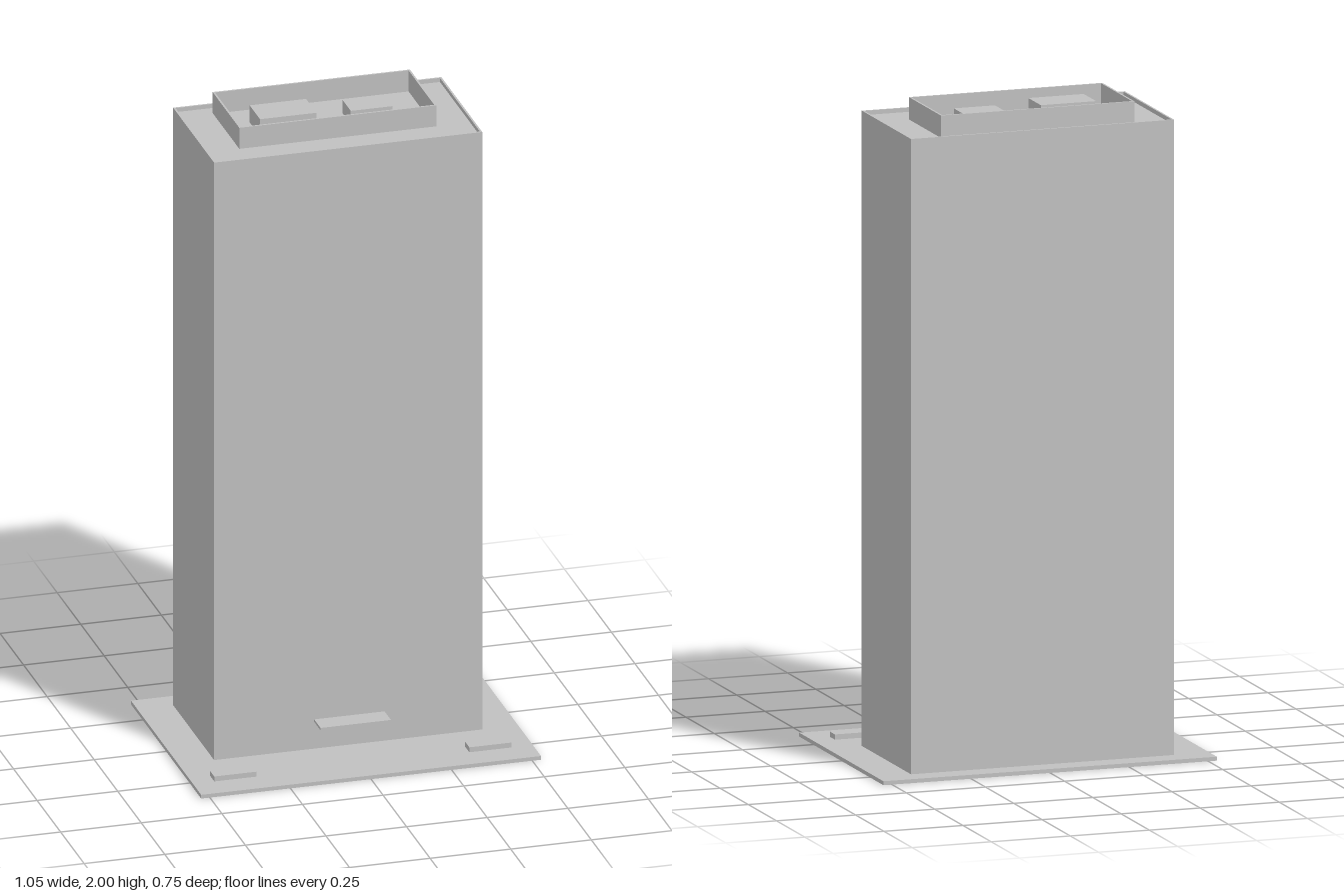
import * as THREE from 'three';

const concrete = new THREE.MeshStandardMaterial({ color: 0xc0c0c0 });
concrete.name = 'concrete grey';

export function createModel() {
  const model = new THREE.Group();
  model.name = 'towerBlock';

  // Box given by its limits on each axis
  function block(name, [x0, x1], [y0, y1], [z0, z1]) {
    const mesh = new THREE.Mesh(new THREE.BoxGeometry(x1 - x0, y1 - y0, z1 - z0), concrete);
    mesh.position.set((x0 + x1) / 2, (y0 + y1) / 2, (z0 + z1) / 2);
    mesh.name = name;
    model.add(mesh);
  }

  // Thin rectangular wall ring, extruded upwards
  function wallRing(name, halfX, [y0, y1], [z0, z1], t) {
    const rect = (path, inset) => {
      const x = halfX - inset, a = -z1 + inset, b = -z0 - inset;
      path.moveTo(-x, a).lineTo(x, a).lineTo(x, b).lineTo(-x, b).closePath();
    };
    rect.call(null, Object.assign(new THREE.Shape(), {}), 0);
    const corners = (inset) => {
      const x = halfX - inset, a = -z1 + inset, b = -z0 - inset;
      return [[-x, a], [x, a], [x, b], [-x, b]].map(([u, v]) => new THREE.Vector2(u, v));
    };
    const shape = new THREE.Shape(corners(0));
    shape.holes.push(new THREE.Path(corners(t).reverse()));
    const geometry = new THREE.ExtrudeGeometry(shape, { depth: y1 - y0, bevelEnabled: false });
    geometry.rotateX(-Math.PI / 2);
    const mesh = new THREE.Mesh(geometry, concrete);
    mesh.position.y = y0;
    mesh.name = name;
    model.add(mesh);
  }

  const roof = 1.932;

  // Ground slab and main shaft
  block('baseSlab', [-0.527, 0.527], [0, 0.012], [-0.373, 0.373]);
  block('tower', [-0.416, 0.416], [0.012, roof], [-0.306, 0.13]);

  // Roof edge and raised plant enclosure
  wallRing('parapet', 0.416, [roof, 1.945], [-0.306, 0.13], 0.006);
  wallRing('plantScreen', 0.306, [roof, 2], [-0.263, 0.021], 0.006);

  // Rooftop equipment
  block('largeRoofUnit', [-0.22, -0.045], [roof, 1.987], [-0.164, -0.054]);
  block('smallRoofUnit', [0.065, 0.195], [roof, 1.975], [-0.153, -0.066]);

  // Entrance canopy and the pair of forecourt planters
  block('entranceCanopy', [-0.109, 0.109], [0.104, 0.112], [0.142, 0.21]);
  block('leftPlanter', [0.33, 0.461], [0.012, 0.028], [0.241, 0.286]);
  block('rightPlanter', [-0.461, -0.33], [0.012, 0.028], [0.241, 0.286]);

  return model;
}
